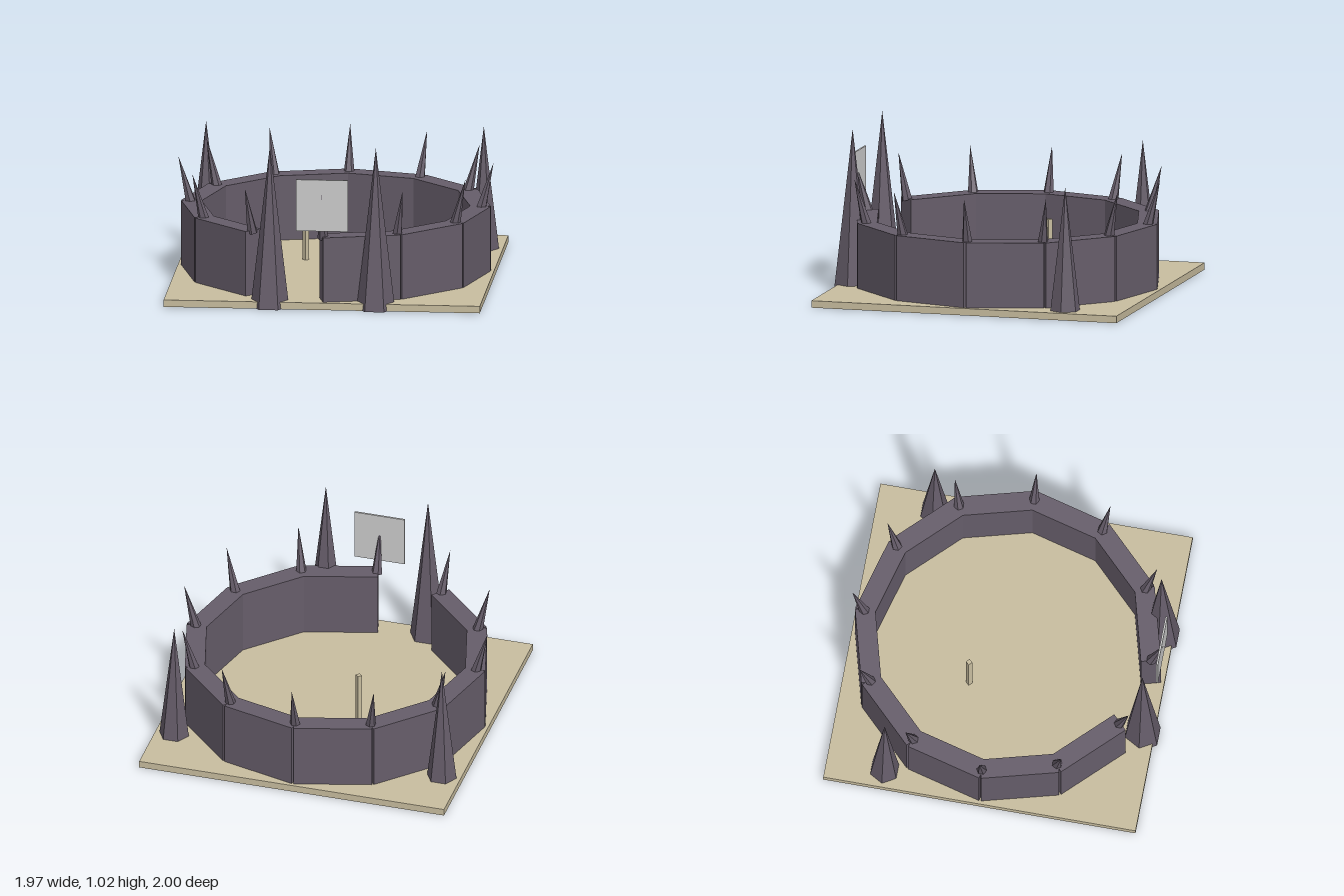
import * as THREE from 'three';

const stone = new THREE.MeshStandardMaterial({ color: 0x665d6a, flatShading: true });
stone.name = 'dark stone';
const sand = new THREE.MeshStandardMaterial({ color: 0xc8bd9f, flatShading: true });
sand.name = 'sand';
const grey = new THREE.MeshStandardMaterial({ color: 0xcccccc, flatShading: true });
grey.name = 'light grey';

function add(parent, name, geometry, material, x, y, z) {
  const mesh = new THREE.Mesh(geometry, material);
  mesh.name = name;
  mesh.position.set(x, y, z);
  parent.add(mesh);
  return mesh;
}

// six-sided spike standing on its own origin
function spikeGeometry(radius, height) {
  return new THREE.ConeGeometry(radius, height, 6).rotateY(Math.PI / 6).translate(0, height / 2, 0);
}

export function createModel() {
  const model = new THREE.Group();
  model.name = 'arena';

  // ground slab; wall and spire feet show just below its underside
  add(model, 'ground', new THREE.BoxGeometry(1.97, 0.044, 1.97), sand, 0, 0.023, -0.015);

  // ring of straight wall panels with one panel left out as the entrance
  const ring = new THREE.Group();
  ring.name = 'wallRing';
  ring.position.z = -0.015;
  model.add(ring);
  const sides = 12;
  const step = (Math.PI * 2) / sides;
  const panel = new THREE.BoxGeometry(0.486, 0.455, 0.125);
  const thorn = spikeGeometry(0.034, 0.305);
  for (let i = 0; i < sides; i++) {
    if (i !== sides - 1) {
      const a = (i + 0.5) * step;
      const wall = add(ring, 'wallPanel', panel, stone, Math.sin(a) * 0.87, 0.2275, Math.cos(a) * 0.87);
      wall.rotation.y = a;
    }
    // spike leaning outward over each joint
    const joint = new THREE.Group();
    joint.name = 'wallSpike';
    joint.rotation.y = i * step;
    ring.add(joint);
    add(joint, 'spike', thorn, stone, 0, 0.44, 0.903).rotation.x = Math.PI / 12;
  }

  // tall spires: a pair by the entrance, a smaller pair at the back corners
  for (const side of [-1, 1]) {
    add(model, 'frontSpire', spikeGeometry(0.12, 1.02), stone, side * 0.33, 0, 0.893);
    add(model, 'backSpire', spikeGeometry(0.1, 0.82), stone, side * 0.865, 0, -0.635);
  }

  // post inside the arena
  add(model, 'post', new THREE.BoxGeometry(0.028, 0.4, 0.028), sand, -0.207, 0.215, -0.222).rotation.y = Math.PI / 4;

  // blank sign board held by the spike at the entrance
  add(model, 'signBoard', new THREE.BoxGeometry(0.324, 0.326, 0.012), grey, 0, 0.663, 0.955);

  return model;
}
